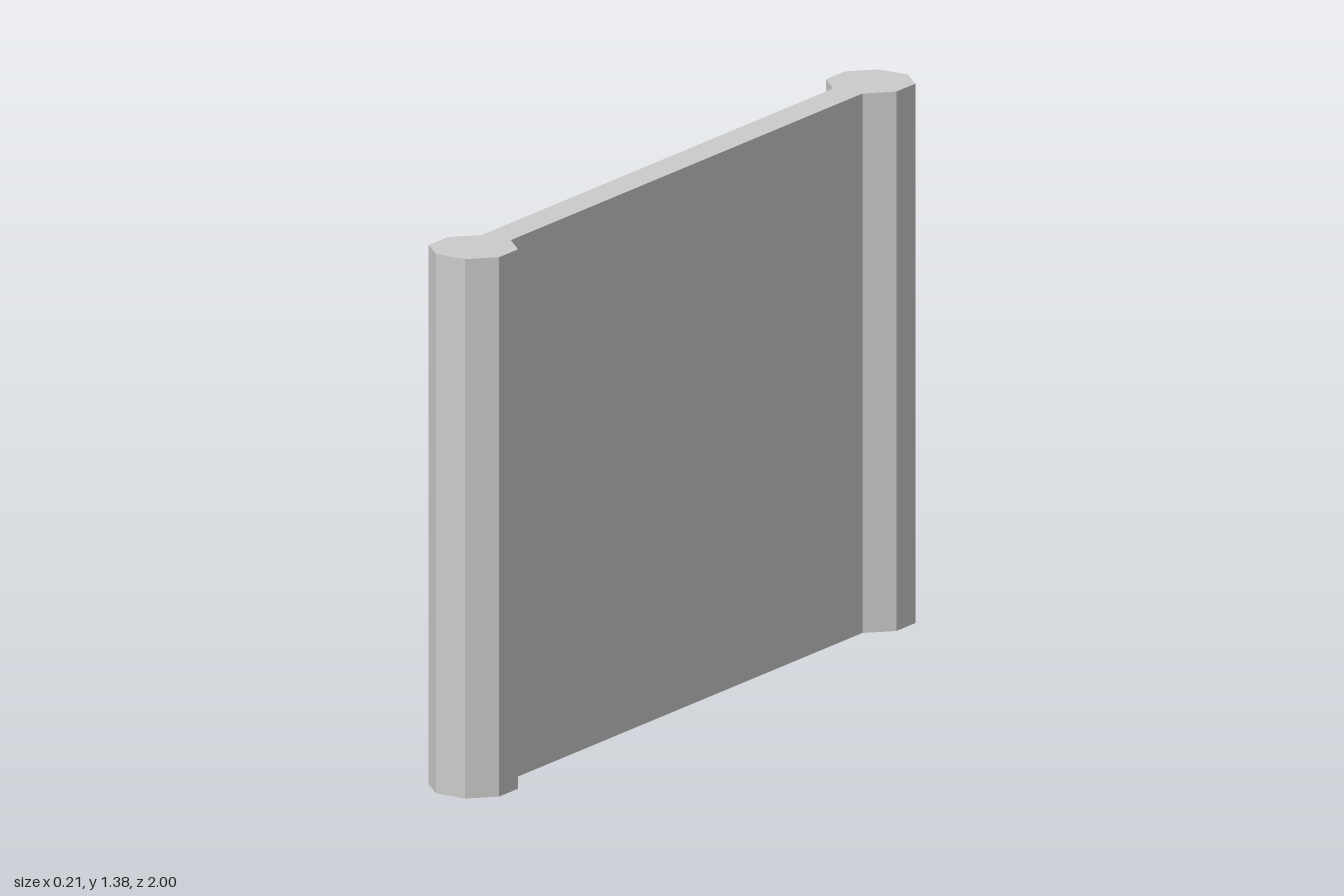
import * as THREE from 'three';

export function createModel() {
  const group = new THREE.Group();
  const material = new THREE.MeshStandardMaterial({ color: 0xcccccc, flatShading: true });

  const height = 1.375;
  const apothem = 0.103; // centre of a post to each of its flats
  const postZ = 1 - apothem;
  const thickness = 2 * apothem * Math.tan(Math.PI / 8); // panel is as wide as one flat

  function add(name, geometry, z) {
    const mesh = new THREE.Mesh(geometry, material);
    mesh.name = name;
    mesh.position.set(0, height / 2, z);
    group.add(mesh);
  }

  // Octagonal posts with their flats squared to the axes
  const radius = apothem / Math.cos(Math.PI / 8);
  const post = new THREE.CylinderGeometry(radius, radius, height, 8, 1, false, Math.PI / 8);
  add('frontPost', post, postZ);
  add('backPost', post, -postZ);

  // Wall panel spanning between the inner flats of the posts
  add('wallPanel', new THREE.BoxGeometry(thickness, height, 2 * (postZ - apothem)), 0);

  return group;
}
